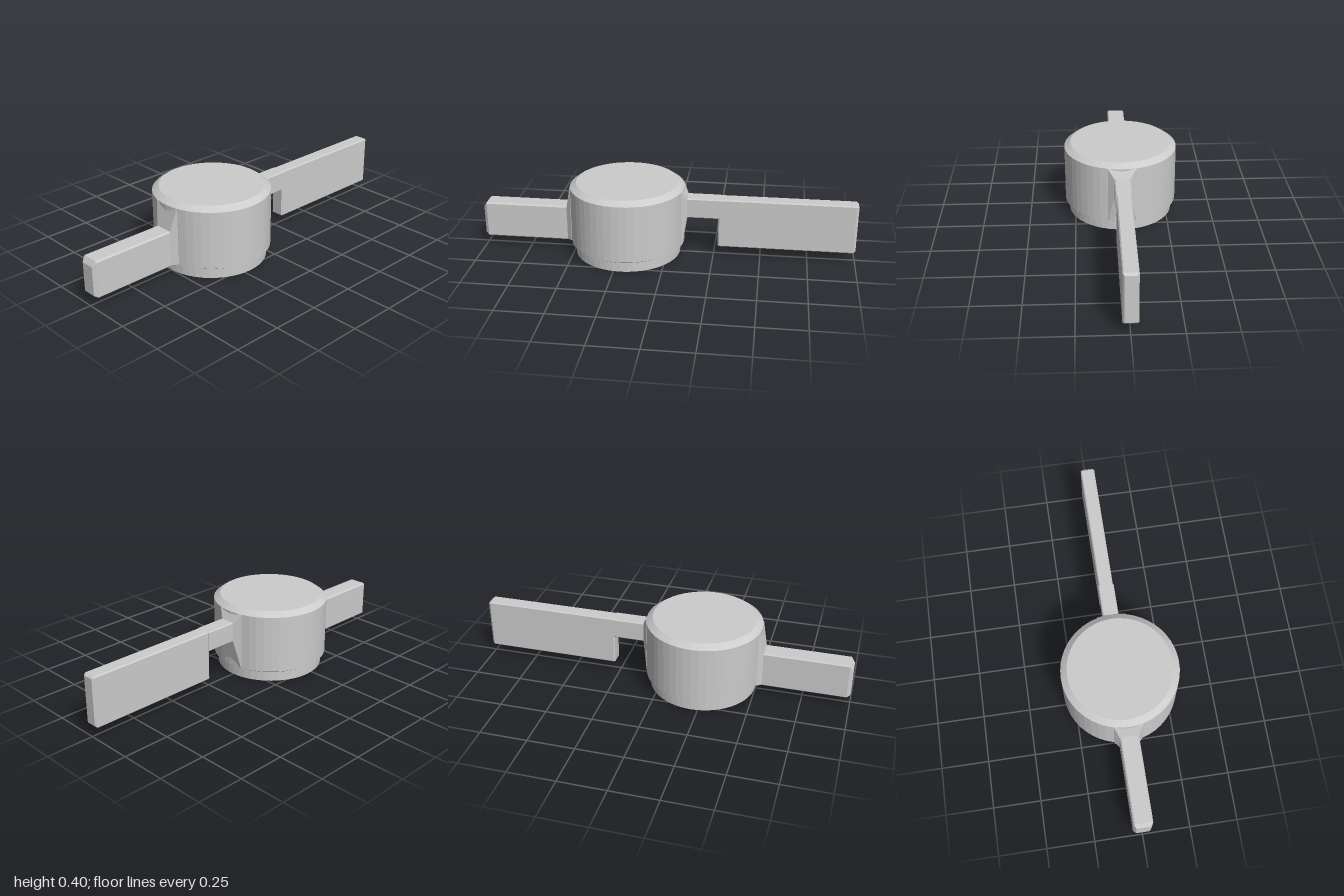
import * as THREE from 'three';
import { ConvexGeometry } from 'three/addons/geometries/ConvexGeometry.js';

const material = new THREE.MeshStandardMaterial({ color: 0xcccccc, flatShading: true });

// Solid through cross-sections [z, halfWidth, yBottom, yTop, cornerChamfer]
function loft(name, sections) {
  const points = [];
  for (const [z, w, y0, y1, c] of sections) {
    for (const s of [-1, 1]) {
      points.push(
        new THREE.Vector3(s * (w - c), y0, z), new THREE.Vector3(s * w, y0 + c, z),
        new THREE.Vector3(s * w, y1 - c, z), new THREE.Vector3(s * (w - c), y1, z));
    }
  }
  const mesh = new THREE.Mesh(new ConvexGeometry(points), material);
  mesh.name = name;
  return mesh;
}

export function createModel() {
  const group = new THREE.Group();
  group.name = 'leverKnob';

  // Round hub with stepped foot and bevelled rims
  const profile = [
    [0, 0], [0.283, 0], [0.283, 0.053], [0.285, 0.053],
    [0.305, 0.065], [0.305, 0.373], [0.272, 0.397], [0, 0.397],
  ].map(([r, y]) => new THREE.Vector2(r, y));
  const hub = new THREE.Mesh(new THREE.LatheGeometry(profile, 48), material);
  hub.name = 'hub';
  hub.position.z = 0.215;
  group.add(hub);

  // Flares blending the hub into each arm
  group.add(loft('frontFlare', [
    [0.40, 0.075, 0.065, 0.373, 0], [0.513, 0.075, 0.065, 0.373, 0],
    [0.54, 0.05, 0.053, 0.25, 0.007],
  ]));
  group.add(loft('backFlare', [
    [0.03, 0.075, 0.065, 0.373, 0], [-0.083, 0.075, 0.065, 0.373, 0],
    [-0.108, 0.042, 0.215, 0.327, 0.005],
  ]));

  // Short front handle with bevelled tip
  group.add(loft('frontHandle', [
    [0.45, 0.05, 0.053, 0.25, 0.007], [0.982, 0.05, 0.053, 0.25, 0.007],
    [1.0, 0.036, 0.068, 0.222, 0],
  ]));

  // Back neck and the long deep blade behind it
  group.add(loft('backNeck', [
    [-0.05, 0.042, 0.217, 0.326, 0.005], [-0.28, 0.042, 0.217, 0.326, 0.005],
  ]));
  group.add(loft('backBlade', [
    [-0.273, 0.032, 0.06, 0.321, 0], [-0.28, 0.038, 0.055, 0.326, 0.006],
    [-0.988, 0.038, 0.055, 0.326, 0.006], [-1.0, 0.028, 0.067, 0.316, 0],
  ]));
  return group;
}
